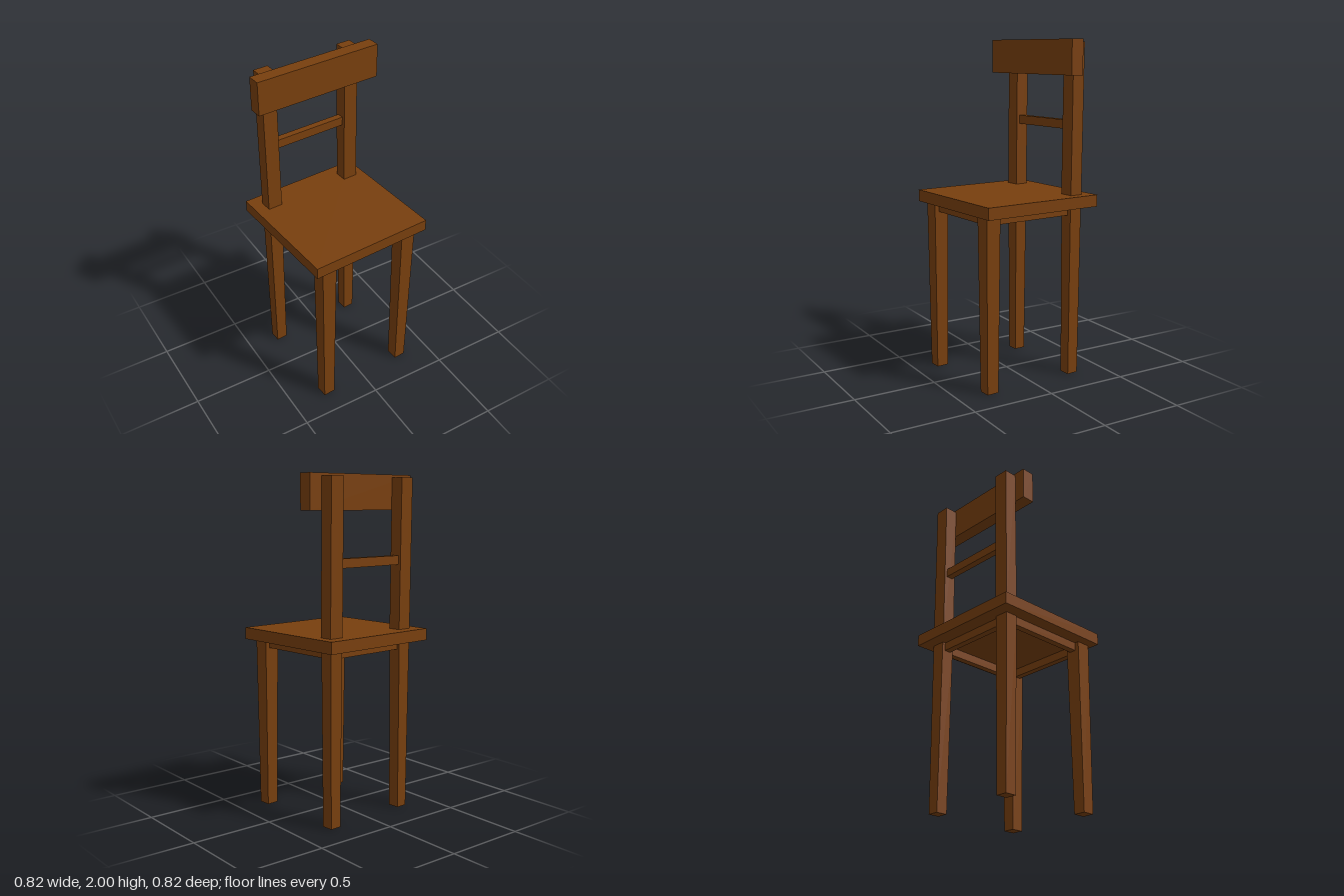
import * as THREE from 'three';

export function createModel() {
  const model = new THREE.Group();
  const chair = new THREE.Group();
  chair.name = 'chair';
  chair.rotation.y = 0.065; // the chair stands slightly turned
  model.add(chair);

  const wood = new THREE.MeshStandardMaterial({ color: 0x783f0e });
  wood.name = 'brown wood';

  const add = (name, geometry) => {
    const mesh = new THREE.Mesh(geometry, wood);
    mesh.name = name;
    chair.add(mesh);
  };

  // Box given by its ranges along each axis
  const box = (name, [x0, x1], [y0, y1], [z0, z1]) =>
    add(name, new THREE.BoxGeometry(x1 - x0, y1 - y0, z1 - z0)
      .translate((x0 + x1) / 2, (y0 + y1) / 2, (z0 + z1) / 2));

  // Four-sided post between two square ends, each [x, y, z, width, depth]
  const post = (name, bottom, top) => {
    const g = new THREE.BoxGeometry(1, 1, 1);
    const p = g.attributes.position;
    for (let i = 0; i < p.count; i++) {
      const [x, y, z, w, d] = p.getY(i) > 0 ? top : bottom;
      p.setXYZ(i, x + p.getX(i) * w, y, z + p.getZ(i) * d);
    }
    g.computeVertexNormals();
    add(name, g);
  };

  box('seat', [-0.384, 0.384], [1.03, 1.1], [-0.384, 0.384]);

  // Legs taper towards the floor; back posts carry on above the seat
  for (const [side, frontX, backX] of [['left', 0.277, 0.28], ['right', -0.283, -0.268]]) {
    post(side + 'FrontLeg', [frontX, 0, 0.311, 0.073, 0.074], [frontX, 1.03, 0.311, 0.092, 0.091]);
    post(side + 'BackLeg', [backX, 0, -0.27, 0.07, 0.07], [backX, 1.03, -0.272, 0.085, 0.078]);
    post(side + 'BackPost', [backX, 1.1, -0.272, 0.09, 0.078], [backX, 1.985, -0.28, 0.09, 0.08]);
    // Side apron under the seat
    box(side + 'Apron', [frontX - 0.02, frontX + 0.02], [0.98, 1.03], [-0.235, 0.268]);
  }

  // Front and back aprons
  box('frontApron', [-0.24, 0.235], [0.98, 1.03], [0.29, 0.33]);
  box('backApron', [-0.23, 0.24], [0.98, 1.03], [-0.292, -0.252]);

  // Backrest
  box('backRail', [-0.225, 0.236], [1.483, 1.536], [-0.298, -0.257]);
  box('headBoard', [-0.383, 0.408], [1.798, 2], [-0.24, -0.16]);

  return model;
}
